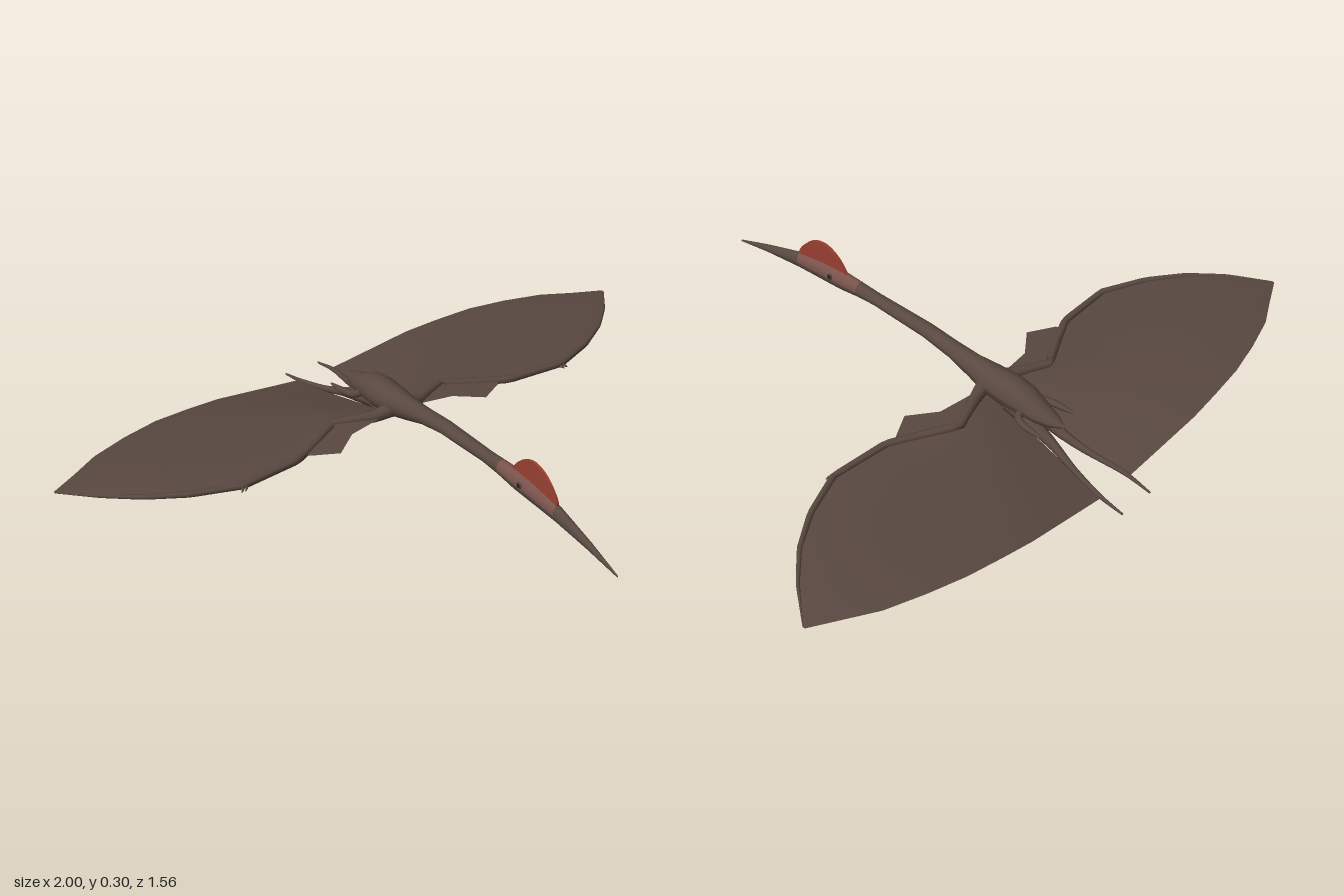
import * as THREE from 'three';

const V = (x, y, z) => new THREE.Vector3(x, y, z);
const mat = (name, color, side = THREE.FrontSide) => {
  const m = new THREE.MeshStandardMaterial({ color, side });
  m.name = name;
  return m;
};

// Grid of points (rows of equal length) to a smooth surface
function surface(rows) {
  const n = rows[0].length, idx = [];
  for (let i = 0; i < rows.length - 1; i++)
    for (let j = 0; j < n - 1; j++) {
      const a = i * n + j, b = a + n;
      idx.push(a, b, b + 1, a, b + 1, a + 1);
    }
  const g = new THREE.BufferGeometry().setFromPoints(rows.flat());
  g.setIndex(idx);
  g.computeVertexNormals();
  return g;
}

// Body sections: z, top, bottom, half width
const BEAK = [[0.78, 0.137, 0.131, 0.002], [0.66, 0.175, 0.15, 0.01], [0.52, 0.215, 0.163, 0.016]];
const HEAD = [[0.52, 0.215, 0.163, 0.016], [0.42, 0.229, 0.167, 0.02], [0.34, 0.233, 0.17, 0.022], [0.27, 0.228, 0.178, 0.02]];
const TRUNK = [[0.27, 0.228, 0.178, 0.02], [0.2, 0.221, 0.183, 0.02], [0, 0.215, 0.172, 0.024],
  [-0.1, 0.205, 0.152, 0.026], [-0.18, 0.199, 0.125, 0.032], [-0.25, 0.198, 0.106, 0.045],
  [-0.33, 0.197, 0.098, 0.05], [-0.38, 0.188, 0.098, 0.047], [-0.43, 0.162, 0.1, 0.038],
  [-0.48, 0.143, 0.108, 0.024], [-0.515, 0.13, 0.12, 0.004]];

// Elliptical loft over the angles a0..a1
function loft(sections, a0 = 0, a1 = Math.PI * 2, seg = 18) {
  return surface(sections.map(([z, top, bot, w]) =>
    Array.from({ length: seg + 1 }, (_, j) => {
      const a = a0 + (a1 - a0) * j / seg;
      return V(w * Math.cos(a), (top + bot) / 2 + (top - bot) / 2 * Math.sin(a), z);
    })));
}

// Tapered tube through points; radii are spread evenly along the length
function limb(points, radii, s, tension = 0.5) {
  const curve = new THREE.CatmullRomCurve3(points.map(([x, y, z]) => V(s * x, y, z)), false, 'catmullrom', tension);
  const segs = points.length * 5, sides = 8;
  const g = new THREE.TubeGeometry(curve, segs, 1, sides);
  const p = g.attributes.position, v = V(0, 0, 0);
  for (let i = 0; i <= segs; i++) {
    const t = i / segs, c = curve.getPointAt(t), f = t * (radii.length - 1);
    const k = Math.min(Math.floor(f), radii.length - 2);
    const r = THREE.MathUtils.lerp(radii[k], radii[k + 1], f - k);
    for (let j = 0; j <= sides; j++) {
      const q = i * (sides + 1) + j;
      v.fromBufferAttribute(p, q).sub(c).multiplyScalar(r).add(c);
      p.setXYZ(q, v.x, v.y, v.z);
    }
  }
  return g;
}

// Wing ribs: leading point, trailing point, arch
const RIBS = [
  [[0.02, 0.125, -0.25], [0.06, 0.02, -0.705], -0.05], [[0.08, 0.126, -0.255], [0.15, 0.031, -0.705], -0.02],
  [[0.19, 0.122, -0.3], [0.27, 0.046, -0.705], 0.015], [[0.29, 0.119, -0.245], [0.35, 0.056, -0.705], 0.035],
  [[0.38, 0.118, -0.2], [0.46, 0.066, -0.695], 0.05], [[0.57, 0.114, -0.185], [0.58, 0.075, -0.68], 0.05],
  [[0.71, 0.11, -0.24], [0.7, 0.079, -0.65], 0.05], [[0.82, 0.105, -0.31], [0.82, 0.08, -0.61], 0.04],
  [[0.91, 0.097, -0.395], [0.91, 0.08, -0.56], 0.02], [[1, 0.082, -0.505], [1, 0.082, -0.512], 0],
];

export function createModel() {
  const group = new THREE.Group();
  const brown = mat('brown skin', 0x594841, THREE.DoubleSide);
  const rust = mat('reddish head skin', 0x78524a);
  const red = mat('red crest', 0x993f31);
  const dark = mat('dark eye', 0x1c1614);
  const add = (name, geo, m) => {
    const mesh = new THREE.Mesh(geo, m);
    mesh.name = name;
    group.add(mesh);
    return mesh;
  };

  // Beak, two-tone head, neck and trunk
  add('beak', loft(BEAK), brown);
  add('headTop', loft(HEAD, -0.1, Math.PI + 0.1), rust);
  add('jaw', loft(HEAD, Math.PI + 0.1, Math.PI * 2 - 0.1), brown);
  add('neckAndTrunk', loft(TRUNK), brown);

  // Crest: thin upright fin, drawn in (z, y)
  const fin = new THREE.Shape();
  fin.moveTo(0.52, 0.208);
  fin.splineThru([[0.518, 0.228], [0.495, 0.259], [0.46, 0.287], [0.42, 0.298],
    [0.385, 0.291], [0.35, 0.268], [0.315, 0.225]].map(p => new THREE.Vector2(...p)));
  const finGeo = new THREE.ExtrudeGeometry(fin, { depth: 0.008, bevelEnabled: false, curveSegments: 20 });
  add('crest', finGeo.translate(0, 0, -0.004).rotateY(-Math.PI / 2), red);

  for (const [side, s] of [['left', 1], ['right', -1]]) {
    // Eye
    const eye = add(side + 'Eye', new THREE.SphereGeometry(0.007, 12, 8), dark);
    eye.position.set(s * 0.021, 0.208, 0.375);
    eye.scale.x = 0.7;
    const rim = add(side + 'EyeRim', new THREE.TorusGeometry(0.008, 0.003, 6, 14), brown);
    rim.position.set(s * 0.021, 0.208, 0.375);
    rim.rotation.y = Math.PI / 2;

    // Wing membrane, sagging at the body and arched further out
    const rows = RIBS.map(([l, t, arch]) => Array.from({ length: 11 }, (_, j) => {
      const u = j / 10, mix = (k, w) => l[k] + (t[k] - l[k]) * w;
      return V(s * mix(0, u ** 1.5), mix(1, u) + arch * u * (1 - u), mix(2, u));
    }));
    add(side + 'Wing', surface(rows), brown);

    // Arm and long wing finger, straight between the joints
    const joints = RIBS.map(r => r[0]);
    joints[0] = [0.02, 0.14, -0.24];
    add(side + 'Arm', limb(joints,
      [0.024, 0.014, 0.013, 0.012, 0.011, 0.01, 0.009, 0.007, 0.005, 0.001], s, 0), brown);

    // Skin web in front of the elbow
    const web = [[[0.05, 0.128, -0.237], [0.06, 0.128, -0.255]], [[0.18, 0.122, -0.217], [0.19, 0.124, -0.3]],
      [[0.26, 0.12, -0.155], [0.28, 0.122, -0.25]], [[0.34, 0.119, -0.198], [0.345, 0.12, -0.22]]];
    add(side + 'ElbowWeb', surface(web.map(r => r.map(([x, y, z]) => V(s * x, y, z)))), brown);

    // Claws at the wrist
    for (const x of [0.56, 0.572])
      add(side + 'Claw', limb([[x, 0.113, -0.19], [x + 0.005, 0.11, -0.175], [x + 0.012, 0.104, -0.17]],
        [0.007, 0.005, 0.001], s), brown);

    // Small curled limb at the hip
    add(side + 'HipHook', limb([[0.03, 0.13, -0.385], [0.054, 0.124, -0.397], [0.066, 0.12, -0.43], [0.072, 0.118, -0.495]],
      [0.013, 0.011, 0.009, 0.003], s), brown);

    // Trailing leg: full thigh tapering to a slim shin and foot
    add(side + 'Leg', limb([[0.02, 0.122, -0.33], [0.022, 0.098, -0.42], [0.026, 0.07, -0.5],
      [0.04, 0.045, -0.58], [0.059, 0.024, -0.69], [0.06, 0.005, -0.78]],
      [0.024, 0.022, 0.014, 0.009, 0.007, 0.003], s), brown);
  }
  return group;
}
